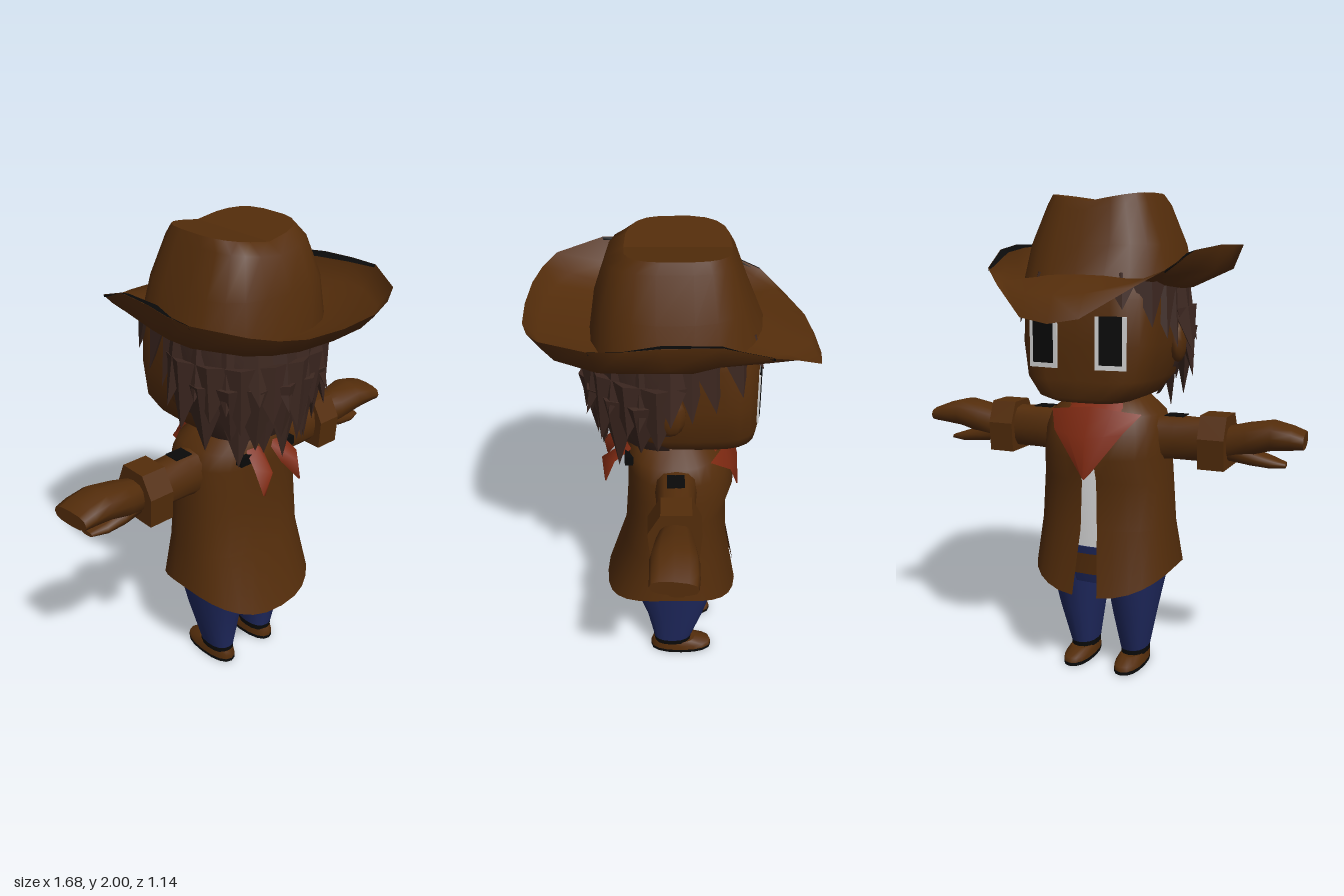
import * as THREE from 'three';

const mat = (name, color) => {
  const m = new THREE.MeshStandardMaterial({ color, side: THREE.DoubleSide });
  m.name = name;
  return m;
};

// Skin a stack of equal-length rings; optionally closed around and capped
function loft(rings, closed = true, cap = false) {
  const n = rings[0].length, pos = rings.flat(2), idx = [];
  const span = closed ? n : n - 1;
  for (let r = 0; r < rings.length - 1; r++) {
    for (let i = 0; i < span; i++) {
      const a = r * n + i, b = r * n + (i + 1) % n, c = a + n, d = b + n;
      idx.push(a, b, d, a, d, c);
    }
  }
  if (cap) {
    [rings[0], rings[rings.length - 1]].forEach((ring, end) => {
      const start = pos.length / 3;
      pos.push(...ring.flat());
      for (let i = 1; i < n - 1; i++) idx.push(start, start + i + 1 - end, start + i + end);
    });
  }
  const g = new THREE.BufferGeometry();
  g.setAttribute('position', new THREE.Float32BufferAttribute(pos, 3));
  g.setIndex(idx);
  g.computeVertexNormals();
  return g;
}

// Unit superellipse point; p = 2 is a circle, larger is squarer
const sq = (a, p) => [Math.sin(a), Math.cos(a)].map(v => Math.sign(v) * Math.abs(v) ** (2 / p));

// Level ring: height, half width, back z and front z
function ring(y, rx, zb, zf, p = 2.4, n = 24) {
  return Array.from({ length: n }, (_, i) => {
    const [u, v] = sq((i / n) * Math.PI * 2, p);
    return [u * rx, y, (zb + zf) / 2 + v * (zb - zf) / 2];
  });
}

// Upright ring across an arm
function armRing(x, y0, y1, z0, z1, p = 2.6, n = 12) {
  return Array.from({ length: n }, (_, i) => {
    const [u, v] = sq((i / n) * Math.PI * 2, p);
    return [x + (z0 + z1 - u * (z1 - z0)) * 0.05, (y0 + y1) / 2 + v * (y1 - y0) / 2, (z0 + z1) / 2 + u * (z1 - z0) / 2];
  });
}

const mirrorRing = half => [...half, ...half.slice(1, -1).reverse().map(([x, y, z]) => [-x, y, z])];

export function createModel() {
  const model = new THREE.Group();
  const brown = mat('brown', 0x542d0b), hairBrown = mat('hair brown', 0x3c2720);
  const blue = mat('denim blue', 0x202a61), red = mat('scarf red', 0x802a12);
  const white = mat('white', 0xd4d4d4), black = mat('black', 0x0a0a0a);
  const add = (name, geometry, material, parent = model) => {
    const m = new THREE.Mesh(geometry, material);
    m.name = name;
    parent.add(m);
    return m;
  };

  // Hat: brim edge from the back round one side to the front, then mirrored
  const edge = [
    [0, 1.74, 0.57], [0.17, 1.745, 0.56], [0.28, 1.76, 0.53], [0.37, 1.78, 0.48],
    [0.48, 1.80, 0.30], [0.48, 1.80, 0.18], [0.46, 1.80, 0.05], [0.42, 1.78, -0.16],
    [0.37, 1.71, -0.35], [0.28, 1.65, -0.44], [0.12, 1.54, -0.56], [0, 1.52, -0.575],
  ];
  const hatRing = (height, rx, zb, zf, p) => edge.map((_, i) => {
    const a = (i / (edge.length - 1)) * Math.PI, [u, c] = sq(a, p);
    const x = i === edge.length - 1 ? 0 : rx * u;
    return [x, height(c, x), c > 0 ? c * zb : -c * zf];
  });
  const base = hatRing(c => (c > 0 ? 1.63 + 0.01 * c : 1.63 + 0.06 * c * c), 0.345, 0.33, -0.335, 2.3);
  const middle = base.map((b, i) => b.map((v, k) => v + (edge[i][k] - v) * (k === 1 ? 0.4 : 0.8)));
  add('hatBrim', loft([base, middle, edge].map(mirrorRing)), brown);
  const crownTop = hatRing((c, x) => 1.965 + 0.035 * x / 0.21, 0.21, 0.19, -0.21, 3);
  const crease = crownTop.map(([, , z]) => [0, 1.965, z]);
  add('hatCrown', loft([
    base, hatRing(() => 1.8, 0.3, 0.305, -0.285, 2.7), hatRing((c, x) => 1.93 + 0.03 * x / 0.23, 0.23, 0.255, -0.23, 3), crownTop,
  ].map(mirrorRing)), brown);
  add('hatCrease', loft([mirrorRing(crownTop), mirrorRing(crease)]), brown);
  // Dark strips along the inside of the upturned rim
  const patch = edge.slice(4, 9);
  for (const s of [1, -1]) {
    add('rimPatch', loft([
      patch.map(([x, y, z]) => [s * (x - 0.002), y, z]),
      patch.map(([x, y, z], i) => [s * (x - [0.003, 0.025, 0.045, 0.035, 0.003][i]), y - 0.012, z]),
    ], false), black);
  }

  // Head and neck
  add('head', loft([
    ring(1.19, 0.17, 0.08, -0.30, 3), ring(1.21, 0.22, 0.14, -0.325, 3.4), ring(1.28, 0.27, 0.2, -0.33, 3.8),
    ring(1.42, 0.29, 0.25, -0.33, 4), ring(1.6, 0.29, 0.26, -0.325, 3.6), ring(1.7, 0.27, 0.24, -0.27, 3),
  ], true, true), brown);
  add('neck', new THREE.CylinderGeometry(0.11, 0.12, 0.12, 12), hairBrown).position.set(0, 1.17, -0.01);

  // Eyes and ears
  for (const s of [1, -1]) {
    const eye = new THREE.Group();
    eye.name = s > 0 ? 'leftEye' : 'rightEye';
    add('eyeWhite', new THREE.BoxGeometry(0.125, 0.205, 0.008), white, eye);
    add('pupil', new THREE.BoxGeometry(0.092, 0.187, 0.008), black, eye).position.set(0, 0.01, -0.003);
    eye.position.set(0.143 * s, 1.43, -0.324);
    eye.rotation.y = -0.12 * s;
    model.add(eye);
    const ear = add('ear', new THREE.SphereGeometry(1, 10, 8), brown);
    ear.scale.set(0.035, 0.09, 0.06);
    ear.position.set(0.295 * s, 1.42, 0.02);
  }

  // Hair: a shell round the back of the head and layers of pointed locks
  const shellRing = (y, rx, zb) => Array.from({ length: 15 }, (_, i) => {
    const a = (i / 14 - 0.5) * 3.4;
    return [Math.sin(a) * rx, y, 0.05 + Math.cos(a) * (zb - 0.05)];
  });
  add('hairShell', loft([shellRing(1.19, 0.2, 0.24), shellRing(1.32, 0.28, 0.31), shellRing(1.48, 0.32, 0.35), shellRing(1.64, 0.315, 0.33)], false), hairBrown);
  const down = new THREE.Vector3(0, -1, 0);
  const lock = (a, y0, r0, y1, r1, w) => {
    const at = (y, r) => new THREE.Vector3(Math.sin(a) * r, y, 0.03 + Math.cos(a) * r);
    const from = at(y0, r0), to = at(y1, r1), dir = to.clone().sub(from);
    const g = new THREE.ConeGeometry(w, dir.length(), 4).toNonIndexed();
    g.rotateX(Math.PI);
    g.scale(1, 1, 0.5);
    g.rotateY(a);
    g.computeVertexNormals();
    const m = add('hairLock', g, hairBrown);
    m.quaternion.setFromUnitVectors(down, dir.normalize());
    m.position.copy(from).add(to).multiplyScalar(0.5);
  };
  // angle reach, count, root height, root radius, tip height, tip radius, width
  for (const [reach, count, y0, r0, y1, r1, w] of [
    [1.6, 10, 1.62, 0.275, 1.36, 0.365, 0.1], [1.45, 9, 1.55, 0.3, 1.27, 0.345, 0.11],
    [1.2, 8, 1.47, 0.3, 1.18, 0.3, 0.11], [0.75, 5, 1.4, 0.26, 1.11, 0.28, 0.1],
  ]) {
    for (let i = 0; i < count; i++) {
      lock((i / (count - 1) * 2 - 1) * reach, y0, r0, y1 + (i % 2) * 0.05, r1 - (i % 3) * 0.012, w);
    }
  }
  // Side locks and short fringe
  for (const s of [1, -1]) {
    lock(1.85 * s, 1.64, 0.28, 1.4, 0.335, 0.08);
    lock(2.1 * s, 1.64, 0.31, 1.44, 0.36, 0.08);
    lock(2.35 * s, 1.66, 0.36, 1.49, 0.4, 0.07);
    lock(2.65 * s, 1.68, 0.34, 1.56, 0.41, 0.07);
    lock(2.95 * s, 1.68, 0.33, 1.57, 0.37, 0.07);
  }

  // Jacket: open at the front, with a hem that dips front and back
  const coat = (y, rx, zb, zf, gap, dip = 0) => Array.from({ length: 29 }, (_, i) => {
    const a = Math.PI * (i / 14 - 1) * (1 - gap);
    const [u, v] = sq(a, 2.4);
    return [u * rx, y - dip * v * v, v > 0 ? v * zb : -v * zf];
  });
  add('jacket', loft([
    coat(0.47, 0.31, 0.31, -0.27, 0.04, 0.098), coat(0.65, 0.287, 0.22, -0.22, 0.027), coat(0.85, 0.275, 0.205, -0.215, 0.024),
    coat(0.95, 0.268, 0.2, -0.245, 0.024), coat(1.05, 0.262, 0.2, -0.225, 0.024), coat(1.12, 0.24, 0.2, -0.19, 0.024),
    coat(1.18, 0.17, 0.17, -0.13, 0.024), coat(1.195, 0.115, 0.115, -0.1, 0.024),
  ], false), brown);
  add('jacketLining', loft([coat(0.475, 0.303, 0.302, -0.262, 0.05, 0.098), coat(0.65, 0.28, 0.212, -0.212, 0.04)], false), black);
  add('shirt', loft([ring(0.56, 0.24, 0.18, -0.205), ring(0.95, 0.235, 0.175, -0.2), ring(1.12, 0.2, 0.15, -0.15)], true, true), white);
  add('hips', loft([ring(0.4, 0.23, 0.19, -0.17), ring(0.5, 0.25, 0.2, -0.2), ring(0.57, 0.245, 0.185, -0.21)], true, true), blue);
  add('belt', loft([ring(0.45, 0.255, 0.205, -0.208), ring(0.54, 0.25, 0.195, -0.213)]), brown);

  // Scarf: neck band, front drape and two tails behind
  add('scarfBand', loft([ring(1.13, 0.18, 0.1, -0.19), ring(1.19, 0.12, 0.03, -0.13)]), red);
  add('scarfDrape', loft([
    [[-0.2, 1.13, -0.14], [-0.1, 1.15, -0.2], [0, 1.16, -0.2], [0.1, 1.15, -0.2], [0.2, 1.13, -0.14]],
    [[-0.15, 1.06, -0.225], [-0.08, 1.05, -0.25], [0, 1.04, -0.26], [0.08, 1.05, -0.25], [0.15, 1.06, -0.225]],
    [[-0.02, 0.89, -0.262], [-0.01, 0.88, -0.267], [0, 0.87, -0.27], [0.01, 0.88, -0.267], [0.02, 0.89, -0.262]],
  ], false), red);
  for (const s of [1, -1]) {
    add('scarfTail', loft([
      [[0.02 * s, 1.13, 0.18], [0.06 * s, 1.14, 0.2], [0.1 * s, 1.13, 0.18]],
      [[0.03 * s, 1.06, 0.25], [0.07 * s, 1.07, 0.305], [0.12 * s, 1.08, 0.25]],
      [[0.095 * s, 0.97, 0.29], [0.1 * s, 0.97, 0.295], [0.105 * s, 0.97, 0.29]],
    ], false), red);
    add('collarKnot', new THREE.BoxGeometry(0.065, 0.04, 0.04), black).position.set(0.115 * s, 1.1, 0.187);
  }

  // One arm and one leg, mirrored for the other side
  const limbs = new THREE.Group();
  limbs.name = 'leftLimbs';
  add('sleeve', loft([armRing(0.18, 0.92, 1.12, -0.09, 0.09), armRing(0.3, 0.93, 1.115, -0.08, 0.08), armRing(0.45, 0.93, 1.11, -0.075, 0.075)]), brown, limbs);
  add('shoulderPatch', new THREE.BoxGeometry(0.08, 0.004, 0.07), black, limbs).position.set(0.3, 1.1145, 0);
  const cuff = new THREE.Shape([[0.1, 0.915], [0.11, 1.04], [0.06, 1.13], [-0.06, 1.13], [-0.1, 1.04], [-0.09, 0.915]].map(p => new THREE.Vector2(-p[0], p[1])));
  const cuffGeometry = new THREE.ExtrudeGeometry(cuff, { depth: 0.11, bevelEnabled: false });
  cuffGeometry.rotateY(Math.PI / 2);
  add('cuff', cuffGeometry, brown, limbs).position.x = 0.42;
  add('hand', loft([
    armRing(0.5, 0.95, 1.08, -0.06, 0.06), armRing(0.6, 0.97, 1.105, -0.075, 0.085), armRing(0.7, 1.0, 1.12, -0.085, 0.1),
    armRing(0.78, 1.01, 1.1, -0.085, 0.1), armRing(0.83, 1.015, 1.08, -0.08, 0.1),
  ], true, true), brown, limbs);
  add('fingers', loft([armRing(0.52, 0.945, 1.04, -0.05, 0.05), armRing(0.62, 0.935, 1.0, -0.06, 0.06), armRing(0.7, 0.93, 0.975, -0.055, 0.055), armRing(0.76, 0.935, 0.955, -0.03, 0.03)], true, true), brown, limbs);

  const legRing = (y, x0, x1, zb, zf) => ring(y, (x1 - x0) / 2, zb, zf, 2.3, 16).map(([x, h, z]) => [x + (x0 + x1) / 2, h, z]);
  add('leg', loft([legRing(0.07, 0.062, 0.175, 0.1, -0.07), legRing(0.25, 0.035, 0.212, 0.135, -0.13), legRing(0.46, 0.005, 0.253, 0.205, -0.19)], true, true), blue, limbs);
  add('ankleBand', loft([legRing(0.05, 0.062, 0.175, 0.1, -0.07), legRing(0.075, 0.061, 0.176, 0.102, -0.072)], true, true), black, limbs);
  add('shoe', loft([legRing(0.015, 0.06, 0.178, 0.115, -0.165), legRing(0.035, 0.062, 0.176, 0.115, -0.16), legRing(0.055, 0.068, 0.17, 0.105, -0.09)], true, true), brown, limbs);
  add('sole', loft([legRing(0, 0.06, 0.178, 0.115, -0.165), legRing(0.015, 0.06, 0.178, 0.115, -0.165)], true, true), black, limbs);
  const other = limbs.clone();
  other.name = 'rightLimbs';
  other.scale.x = -1;
  model.add(limbs, other);

  return model;
}
